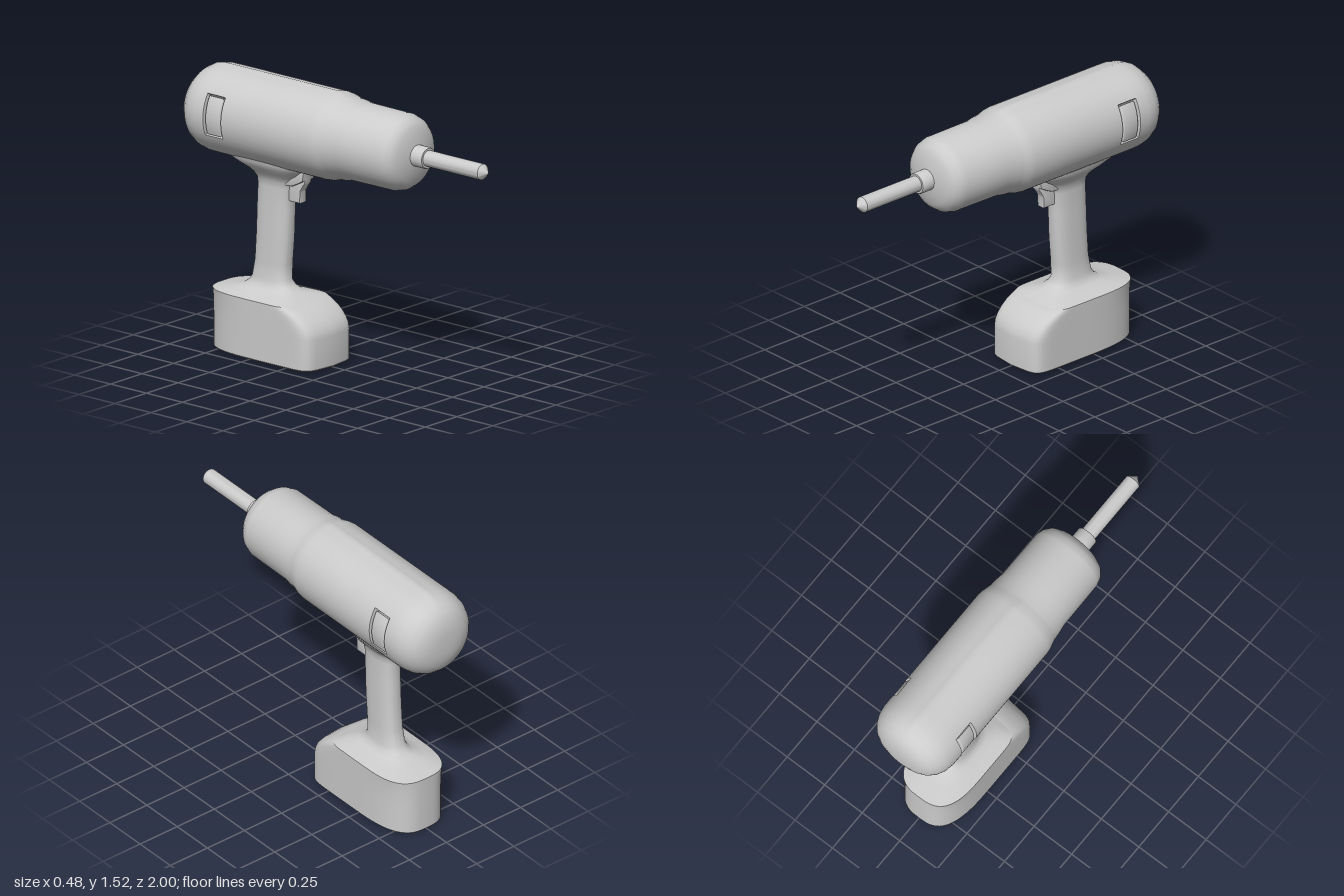
import * as THREE from 'three';
import { toCreasedNormals } from 'three/addons/utils/BufferGeometryUtils.js';

const AXIS_Y = 1.27; // height of the motor axis
const SLOT = { low: -0.39, high: 0.577, back: -0.775, front: -0.655 };
const material = new THREE.MeshStandardMaterial({ color: 0xcccccc });

function part(name, geometry, crease = 0.6) {
  const mesh = new THREE.Mesh(toCreasedNormals(geometry, crease), material);
  mesh.name = name;
  return mesh;
}

// Skin closed rings of points, with flat caps on both ends
function loft(rings) {
  const n = rings[0].length;
  const points = rings.flat();
  const index = [];
  for (let i = 0; i < rings.length - 1; i++) {
    for (let j = 0; j < n; j++) {
      const a = i * n + j, b = i * n + (j + 1) % n;
      index.push(a, b, b + n, a, b + n, a + n);
    }
  }
  [rings[0], rings[rings.length - 1]].forEach((ring, end) => {
    const centre = ring.reduce((s, p) => s.add(p), new THREE.Vector3()).divideScalar(n);
    const c = points.push(centre) - 1;
    const start = end ? (rings.length - 1) * n : 0;
    for (let j = 0; j < n; j++) {
      const a = start + j, b = start + (j + 1) % n;
      if (end) index.push(c, a, b);
      else index.push(c, b, a);
    }
  });
  const geometry = new THREE.BufferGeometry().setFromPoints(points);
  geometry.setIndex(index);
  return geometry;
}

// Horizontal superellipse ring; exponents set how square its front and back are
function planRing([y, halfWidth, zFront, zBack, nFront = 2.6, nBack = 2.6, bulge = 0]) {
  const ring = [];
  const zc = (zFront + zBack) / 2, rz = (zFront - zBack) / 2;
  const pow = (v, n) => Math.sign(v) * Math.abs(v) ** (2 / n);
  for (let j = 0; j < 64; j++) {
    const t = j / 64 * Math.PI * 2;
    const n = Math.sin(t) < 0 ? nFront : nBack;
    const cx = pow(Math.cos(t), n), sz = pow(Math.sin(t), n);
    const z = zc - rz * sz - (sz < 0 ? bulge * cx * cx * -sz : 0);
    ring.push(new THREE.Vector3(halfWidth * cx, y, z));
  }
  return ring;
}

// Motor housing: round sections, a soft ridge on top, a slot in each side
function housing() {
  const angles = [];
  for (let i = 0; i < 72; i++) angles.push(i / 72 * Math.PI * 2);
  for (const a of [SLOT.low, SLOT.high]) {
    for (const e of [-0.006, 0.006]) {
      angles.push((a + e + Math.PI * 2) % (Math.PI * 2), Math.PI - a - e);
    }
  }
  angles.sort((a, b) => a - b);
  // z, radius, ridge (0 to 1), slotted
  const sections = [
    [-1, 0.06, 0], [-0.995, 0.1, 0], [-0.982, 0.145, 0], [-0.962, 0.18, 0.1],
    [-0.93, 0.209, 0.3], [-0.89, 0.228, 0.6], [-0.84, 0.237, 1],
    [SLOT.back - 0.002, 0.238, 1], [SLOT.back + 0.002, 0.238, 1, true],
    [SLOT.front - 0.002, 0.238, 1, true], [SLOT.front + 0.002, 0.238, 1],
    [-0.35, 0.238, 1], [-0.05, 0.238, 1], [-0.02, 0.234, 0.6], [0.01, 0.226, 0.2],
    [0.03, 0.221, 0], [0.07, 0.218, 0], [0.12, 0.21, 0], [0.4, 0.208, 0],
    [0.44, 0.197, 0], [0.47, 0.175, 0], [0.487, 0.145, 0], [0.497, 0.1, 0], [0.508, 0.05, 0],
  ];
  return loft(sections.map(([z, r, ridge, slotted]) => angles.map((a) => {
    const side = Math.atan2(Math.sin(a), Math.abs(Math.cos(a)));
    const inSlot = slotted && side > SLOT.low && side < SLOT.high;
    const radius = inSlot ? 0.205 : r;
    const x = radius * Math.cos(a);
    let y = radius * Math.sin(a);
    const tent = r * 1.03 - 0.29 * Math.abs(x);
    if (y > 0 && tent > y && Math.abs(x) < r * 0.45) y += (tent - y) * ridge;
    return new THREE.Vector3(x, AXIS_Y + y, z);
  })));
}

// Curved cover sitting in a side slot
function slotCover(side) {
  const low = SLOT.low + 0.07, high = SLOT.high - 0.07;
  const shape = new THREE.Shape();
  const turn = (a) => (side > 0 ? a : Math.PI - a);
  shape.absarc(0, 0, 0.226, turn(low), turn(high), side < 0);
  shape.absarc(0, 0, 0.19, turn(high), turn(low), side > 0);
  const geometry = new THREE.ExtrudeGeometry(shape, {
    depth: 0.084, bevelThickness: 0.009, bevelSize: 0.009, bevelSegments: 3, curveSegments: 14,
  });
  return geometry.translate(0, AXIS_Y, SLOT.back + 0.018);
}

export function createModel() {
  const model = new THREE.Group();
  model.name = 'cordlessDriver';

  model.add(part('motorHousing', housing()));
  model.add(part('leftSlotCover', slotCover(1)), part('rightSlotCover', slotCover(-1)));

  // Collar and pointed bit, turned around the motor axis
  const turned = (profile) => new THREE.LatheGeometry(
    profile.map(([r, z]) => new THREE.Vector2(r, z)), 32,
  ).rotateX(Math.PI / 2).translate(0, AXIS_Y, 0);
  model.add(part('collar', turned([[0.058, 0.48], [0.058, 0.575], [0.054, 0.582], [0.03, 0.582]])));
  model.add(part('bit', turned([[0.043, 0.5], [0.043, 0.96], [0.036, 0.968], [0, 1]])));

  // Battery: square bulged front with a rounded brow, round back
  const battery = [
    [0, 0.183, -0.087, -0.833], [0.008, 0.19, -0.08, -0.84], [0.17, 0.19, -0.08, -0.84],
    [0.2, 0.19, -0.086, -0.84], [0.23, 0.19, -0.102, -0.84], [0.26, 0.19, -0.128, -0.84],
    [0.285, 0.19, -0.16, -0.84], [0.305, 0.19, -0.195, -0.84], [0.325, 0.19, -0.24, -0.84],
  ];
  model.add(part('battery', loft(battery.map((s) => planRing([...s, 10, 3, 0.03])))));

  // Grip: flares into the battery below and the housing above
  const grip = [
    [0.325, 0.19, -0.24, -0.84, 10, 3, 0.03], [0.345, 0.135, -0.29, -0.74, 5, 3, 0.01],
    [0.36, 0.095, -0.33, -0.67, 3, 3], [0.38, 0.078, -0.36, -0.64], [0.41, 0.067, -0.385, -0.62],
    [0.5, 0.064, -0.381, -0.602], [0.65, 0.063, -0.368, -0.593], [0.8, 0.062, -0.362, -0.588],
    [0.92, 0.061, -0.357, -0.583], [0.955, 0.063, -0.345, -0.588], [0.985, 0.08, -0.32, -0.61],
    [1.005, 0.095, -0.29, -0.64], [1.03, 0.115, -0.26, -0.71], [1.06, 0.135, -0.23, -0.78],
    [1.12, 0.14, -0.23, -0.78],
  ];
  model.add(part('grip', loft(grip.map(planRing)), 0.9));

  // Trigger and its mount, cut from side outlines
  const plate = (outline, width) => {
    const shape = new THREE.Shape(outline.map(([z, y]) => new THREE.Vector2(z, y)));
    const bevel = 0.006;
    return new THREE.ExtrudeGeometry(shape, {
      depth: width - bevel * 2, bevelThickness: bevel, bevelSize: bevel, bevelOffset: -bevel, bevelSegments: 2,
    }).translate(0, 0, bevel - width / 2).rotateY(-Math.PI / 2);
  };
  model.add(part('trigger', plate([
    [-0.38, 0.855], [-0.29, 0.855], [-0.288, 0.92], [-0.27, 0.95], [-0.255, 0.97], [-0.25, 1.02], [-0.38, 1.02],
  ], 0.052)));
  model.add(part('triggerMount', plate([
    [-0.4, 0.94], [-0.33, 0.945], [-0.29, 0.965], [-0.255, 0.985], [-0.24, 1.06], [-0.4, 1.06],
  ], 0.092)));

  return model;
}
